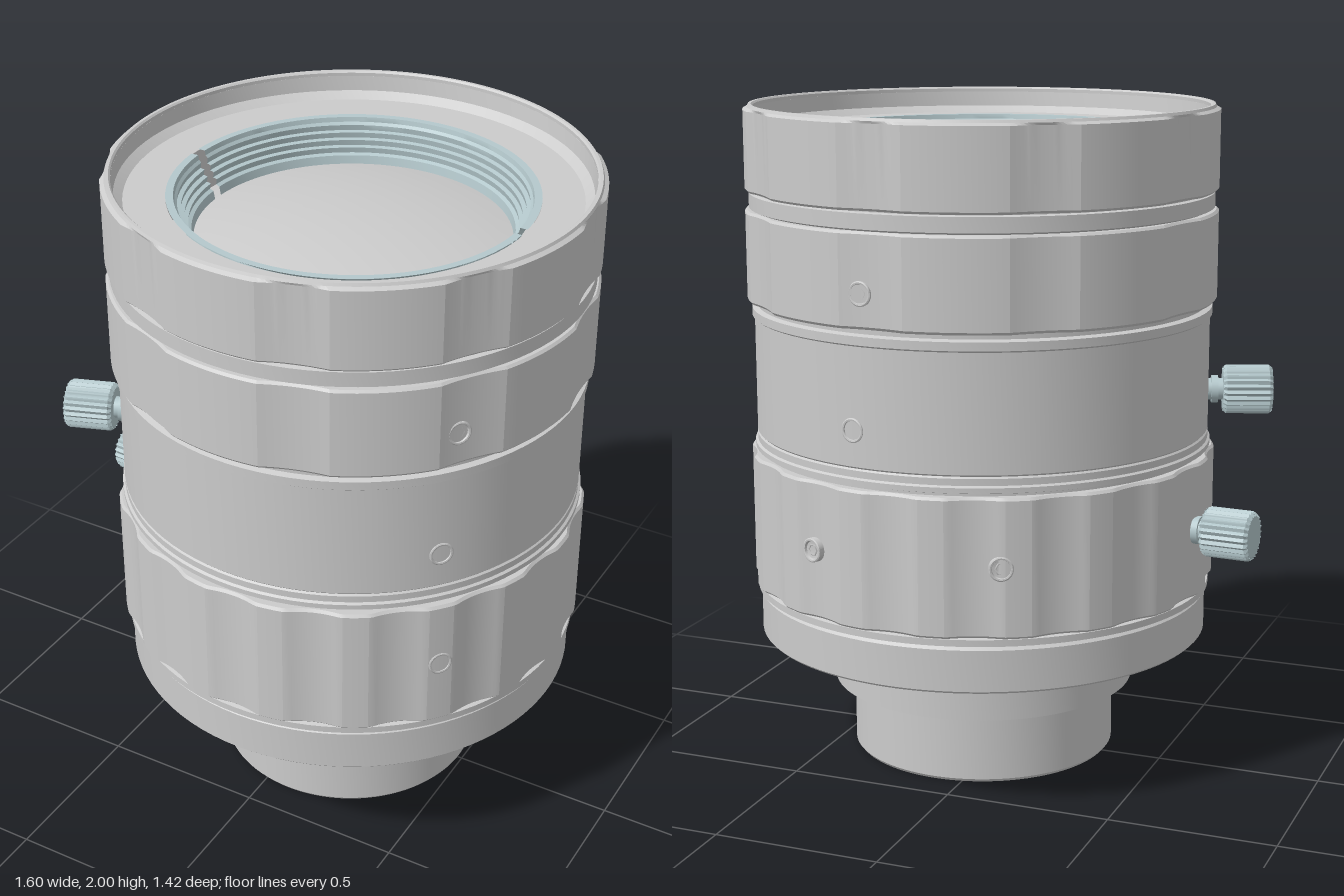
import * as THREE from 'three';
import { toCreasedNormals } from 'three/addons/utils/BufferGeometryUtils.js';

const AXIS_X = 0.085; // the barrel sits off centre because of the thumb screws
const rad = THREE.MathUtils.degToRad;
const grey = new THREE.MeshStandardMaterial({ color: 0xcccccc });
const greyOpen = new THREE.MeshStandardMaterial({ color: 0xcccccc, side: THREE.DoubleSide });
const steel = new THREE.MeshStandardMaterial({ color: 0xb4c8cc, side: THREE.DoubleSide });

function add(parent, name, geometry, material = grey) {
  const mesh = new THREE.Mesh(geometry, material);
  mesh.name = name;
  parent.add(mesh);
}

function revolve(points, segments, start, length) {
  const profile = points.map(([r, y]) => new THREE.Vector2(r, y));
  return new THREE.LatheGeometry(profile, segments, start, length);
}

function lathe(points, segments = 96, start = 0, length = Math.PI * 2) {
  return toCreasedNormals(revolve(points, segments, start, length), 0.4);
}

// Grip ring: a revolved profile whose outermost wall is scooped into flutes
function flutedRing(points, count, firstFlute, halfWidth, depth) {
  const geometry = revolve(points, 360);
  const position = geometry.attributes.position;
  const pitch = 360 / count;
  for (let i = 0; i < position.count; i++) {
    const x = position.getX(i), z = position.getZ(i), r = Math.hypot(x, z);
    const a = THREE.MathUtils.radToDeg(Math.atan2(z, x)) - firstFlute;
    const t = (THREE.MathUtils.euclideanModulo(a + pitch / 2, pitch) - pitch / 2) / halfWidth;
    if (r < 0.7 || Math.abs(t) >= 1) continue;
    const scale = 1 - (depth * (1 - t * t)) / r;
    position.setX(i, x * scale);
    position.setZ(i, z * scale);
  }
  return toCreasedNormals(geometry, 0.2);
}

// Group on the barrel wall whose local +z points outward
function onWall(parent, name, angle, y, r) {
  const group = new THREE.Group();
  group.name = name;
  group.position.set(r * Math.cos(rad(angle)), y, r * Math.sin(rad(angle)));
  group.rotation.y = Math.PI / 2 - rad(angle);
  parent.add(group);
  return group;
}

// Small cup-shaped screw, opening toward +z, with a six-sided socket
function setScrew(parent, size) {
  const rim = lathe([[size, -0.02], [size, 0.002], [size * 0.9, 0.004],
    [size * 0.78, 0.003], [size * 0.72, -0.004], [0, -0.004]], 24);
  add(parent, 'screwRim', rim.rotateX(Math.PI / 2), greyOpen);
  const socket = new THREE.TorusGeometry(size * 0.45, size * 0.08, 4, 6);
  add(parent, 'screwSocket', socket.translate(0, 0, -0.004));
}

function thumbScrew(parent, angle, y) {
  const group = onWall(parent, 'thumbScrew', angle, y, 0.68);
  const shaft = new THREE.CylinderGeometry(0.033, 0.033, 0.08, 24).rotateX(Math.PI / 2);
  add(group, 'thumbScrewShaft', shaft.translate(0, 0, 0.03), steel);
  const collar = new THREE.CylinderGeometry(0.042, 0.042, 0.02, 24).rotateX(Math.PI / 2);
  add(group, 'thumbScrewCollar', collar.translate(0, 0, 0.03), steel);
  // knurled head
  const points = [];
  for (let i = 0; i < 192; i++) {
    const a = (i / 192) * Math.PI * 2, r = 0.0715 + 0.0035 * Math.cos(a * 24);
    points.push(new THREE.Vector2(r * Math.cos(a), r * Math.sin(a)));
  }
  const head = new THREE.ExtrudeGeometry(new THREE.Shape(points), {
    depth: 0.13, bevelThickness: 0.01, bevelSize: 0.008, bevelOffset: -0.008, bevelSegments: 1,
  });
  add(group, 'thumbScrewHead', toCreasedNormals(head.translate(0, 0, 0.065), 0.5), steel);
}

export function createModel() {
  const model = new THREE.Group();
  const lens = new THREE.Group();
  lens.name = 'lensBarrel';
  lens.position.x = AXIS_X;
  model.add(lens);

  // Rear mount: threaded barrel, flange and neck, with a shallow recessed back
  add(lens, 'rearMount', lathe([
    [0.33, 0.03], [0.33, 0.008], [0.375, 0.008], [0.385, 0], [0.397, 0],
    [0.405, 0.01], [0.405, 0.22], [0.465, 0.22], [0.465, 0.345], [0.44, 0.345], [0.44, 0.4],
  ]));
  add(lens, 'rearLens', lathe([[0, 0.04], [0.11, 0.038], [0.22, 0.031], [0.335, 0.018]]));

  // Main body with its grooves and the dished front
  add(lens, 'mainBody', lathe([
    [0.42, 0.385], [0.683, 0.385], [0.69, 0.392], [0.69, 0.515], [0.68, 0.525], [0.68, 0.97],
    [0.697, 0.975], [0.697, 0.99], [0.69, 0.995], [0.69, 1.015], [0.685, 1.02], [0.69, 1.025],
    [0.69, 1.37], [0.697, 1.375], [0.697, 1.4], [0.68, 1.405], [0.68, 1.69],
    [0.699, 1.698], [0.699, 1.742], [0.685, 1.745], [0.685, 1.985], [0.68, 1.985],
    [0.675, 1.94], [0.65, 1.92], [0.53, 1.92], [0.53, 1.78], [0, 1.78],
  ]));

  // Grip rings
  add(lens, 'rearGripRing', flutedRing([
    [0.66, 0.553], [0.703, 0.553], [0.71, 0.56], [0.71, 0.955], [0.703, 0.963], [0.66, 0.963],
  ], 18, 10, 6.5, 0.016));
  add(lens, 'middleGripRing', flutedRing([
    [0.66, 1.42], [0.703, 1.42], [0.71, 1.428], [0.71, 1.685], [0.703, 1.692], [0.66, 1.692],
  ], 9, 34, 8, 0.015));
  add(lens, 'frontGripRing', flutedRing([
    [0.66, 1.748], [0.703, 1.748], [0.71, 1.755], [0.71, 1.985], [0.698, 1.992],
    [0.694, 2], [0.685, 2], [0.68, 1.995], [0.68, 1.98],
  ], 9, 34, 8, 0.015));
  add(lens, 'rearGripLip', lathe([[0.66, 0.53], [0.7, 0.53], [0.7, 0.55], [0.66, 0.56]]));

  // Stepped retaining ring in two halves, leaving two spanner slots
  const steps = [[0.53, 1.924], [0.508, 1.924], [0.505, 1.91]];
  for (let i = 3; i >= 0; i--) {
    const r = 0.465 + i * 0.01, y = 1.825 + i * 0.02;
    steps.push([r + 0.003, y + 0.017], [r + 0.006, y]);
  }
  steps.push([0.46, 1.82], [0.455, 1.795], [0.44, 1.795]);
  for (const start of [92, 272]) {
    add(lens, 'retainingRing', lathe(steps, 48, rad(start), rad(176)), steel);
  }

  // Front glass
  const dome = [];
  for (let i = 0; i <= 12; i++) {
    const r = 0.455 * (1 - i / 12);
    dome.push([r, 1.795 + 0.05 * (1 - (r / 0.455) ** 2)]);
  }
  add(lens, 'frontLens', lathe(dome));

  // Set screws around the wall: height, wall radius, angles
  const rows = [
    [1.52, 0.698, [37, 157, 217, 277]],
    [1.13, 0.69, [40, 280]],
    [0.76, 0.709, [40, 244, 292]],
  ];
  for (const [y, r, angles] of rows) {
    for (const a of angles) setScrew(onWall(lens, 'setScrew', a, y, r), 0.036);
  }

  // Screws under the body
  for (const a of [-90, 30, 150]) {
    const screw = new THREE.Group();
    screw.name = 'undersideScrew';
    screw.position.set(0.575 * Math.cos(rad(a)), 0.38, 0.575 * Math.sin(rad(a)));
    screw.rotation.x = Math.PI / 2;
    setScrew(screw, 0.052);
    lens.add(screw);
  }

  thumbScrew(lens, 160.5, 1.13);
  thumbScrew(lens, 184, 0.76);
  return model;
}
